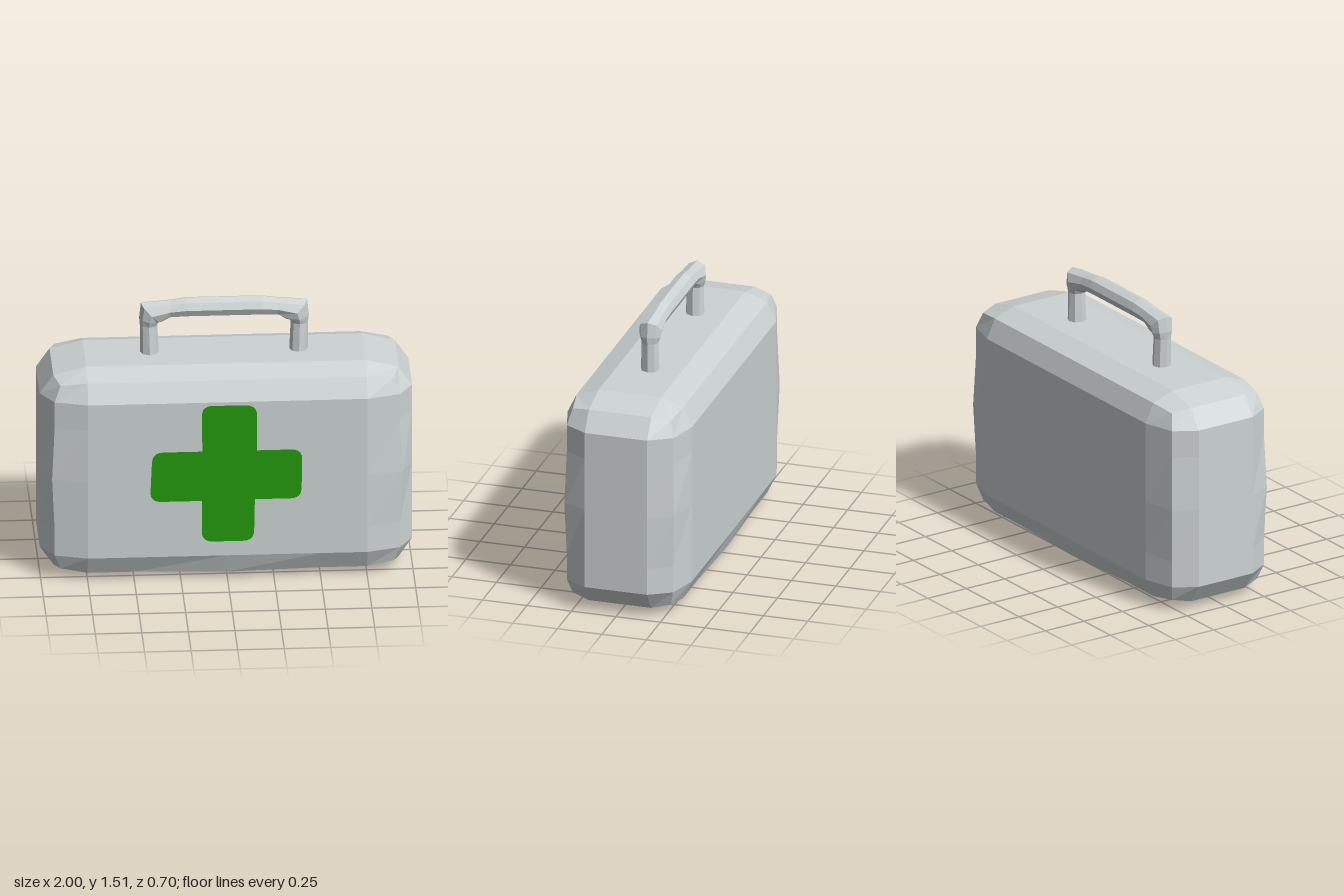
import * as THREE from 'three';

const mat = (name, color, extra = {}) => new THREE.MeshStandardMaterial({ name, color, ...extra });

// Box whose edges are rounded in two steps: a core grid plus an ellipsoidal offset
function caseGeometry() {
  const core = [
    [-0.75, -0.75, -0.5, 0, 0.5, 0.75, 0.75],
    [0.15, 0.15, 0.3, 0.6, 0.9, 1.05, 1.05],
    [-0.175, -0.175, 0.175, 0.175],
  ];
  const radius = [0.25, 0.15, 0.175];
  const geo = new THREE.BoxGeometry(6, 6, 3, 6, 6, 3);
  const pos = geo.attributes.position;
  for (let i = 0; i < pos.count; i++) {
    const idx = [pos.getX(i) + 3, pos.getY(i) + 3, pos.getZ(i) + 1.5].map(Math.round);
    const out = idx.map((k, a) => (k === 0 ? -1 : k === core[a].length - 1 ? 1 : 0));
    const sides = out.filter((o) => o !== 0).length;
    // long edges swell slightly at their middle, except along the top
    const swell = sides === 2 && out[1] <= 0 && (idx[0] === 3 || idx[1] === 3) ? 1.08 : 1;
    const p = idx.map((k, a) => core[a][k] + (out[a] * radius[a] * swell) / Math.sqrt(sides));
    pos.setXYZ(i, ...p);
  }
  geo.computeVertexNormals();
  return geo;
}

// Octagonal rings lofted along the handle; each station: x, y, tilt, half thickness, half depth
function handleGeometry() {
  const half = [
    [-0.4, 1.19, 0, 0.05, 0.052],
    [-0.405, 1.36, 0, 0.047, 0.047],
    [-0.402, 1.39, 12, 0.055, 0.058],
    [-0.39, 1.43, 45, 0.08, 0.064],
    [-0.29, 1.45, 90, 0.049, 0.055],
    [-0.2, 1.458, 90, 0.054, 0.058],
  ];
  const mirrored = half.slice().reverse().map(([x, y, a, t, d]) => [-x, y, 180 - a, t, d]);
  const stations = [...half, ...mirrored];
  const n = 8, verts = [], index = [];
  stations.forEach(([x, y, deg, t, d]) => {
    const a = THREE.MathUtils.degToRad(deg);
    for (let j = 0; j < n; j++) {
      const b = (j / n) * Math.PI * 2;
      const o = Math.cos(b) * t;
      verts.push(x - Math.cos(a) * o, y + Math.sin(a) * o, Math.sin(b) * d - 0.004);
    }
  });
  for (let s = 0; s < stations.length - 1; s++) {
    for (let j = 0; j < n; j++) {
      const a = s * n + j, b = s * n + ((j + 1) % n);
      index.push(a, b, a + n, b, b + n, a + n);
    }
  }
  const geo = new THREE.BufferGeometry();
  geo.setAttribute('position', new THREE.Float32BufferAttribute(verts, 3));
  geo.setIndex(index);
  geo.computeVertexNormals();
  return geo;
}

// Cross outline with rounded outer corners and sharp inner ones
function crossGeometry() {
  const pts = [
    [-0.14, 0.235, 1], [0.14, 0.235, 1], [0.145, 0.478, 0], [0.395, 0.478, 1],
    [0.4, 0.765, 1], [0.157, 0.765, 0], [0.157, 1.03, 1], [-0.14, 1.033, 1],
    [-0.137, 0.765, 0], [-0.405, 0.765, 1], [-0.418, 0.475, 1], [-0.14, 0.475, 0],
  ];
  const r = 0.06;
  const shape = new THREE.Shape();
  pts.forEach(([x, y, round], i) => {
    const toward = ([qx, qy]) => {
      const l = Math.hypot(qx - x, qy - y);
      return [x + ((qx - x) / l) * r, y + ((qy - y) / l) * r];
    };
    const a = round ? toward(pts[(i + 11) % 12]) : [x, y];
    if (i === 0) shape.moveTo(...a);
    else shape.lineTo(...a);
    if (round) shape.quadraticCurveTo(x, y, ...toward(pts[(i + 1) % 12]));
  });
  return new THREE.ShapeGeometry(shape, 5);
}

export function createModel() {
  const grey = mat('caseGrey', 0xcdd3d3, { flatShading: true });
  const green = mat('crossGreen', 0x24980f);
  const group = new THREE.Group();
  group.name = 'firstAidCase';
  const add = (name, geo, material) => {
    const mesh = new THREE.Mesh(geo, material);
    mesh.name = name;
    group.add(mesh);
    return mesh;
  };
  add('caseBody', caseGeometry(), grey);
  add('handle', handleGeometry(), grey);
  add('frontCross', crossGeometry(), green).position.z = 0.354;
  return group;
}
